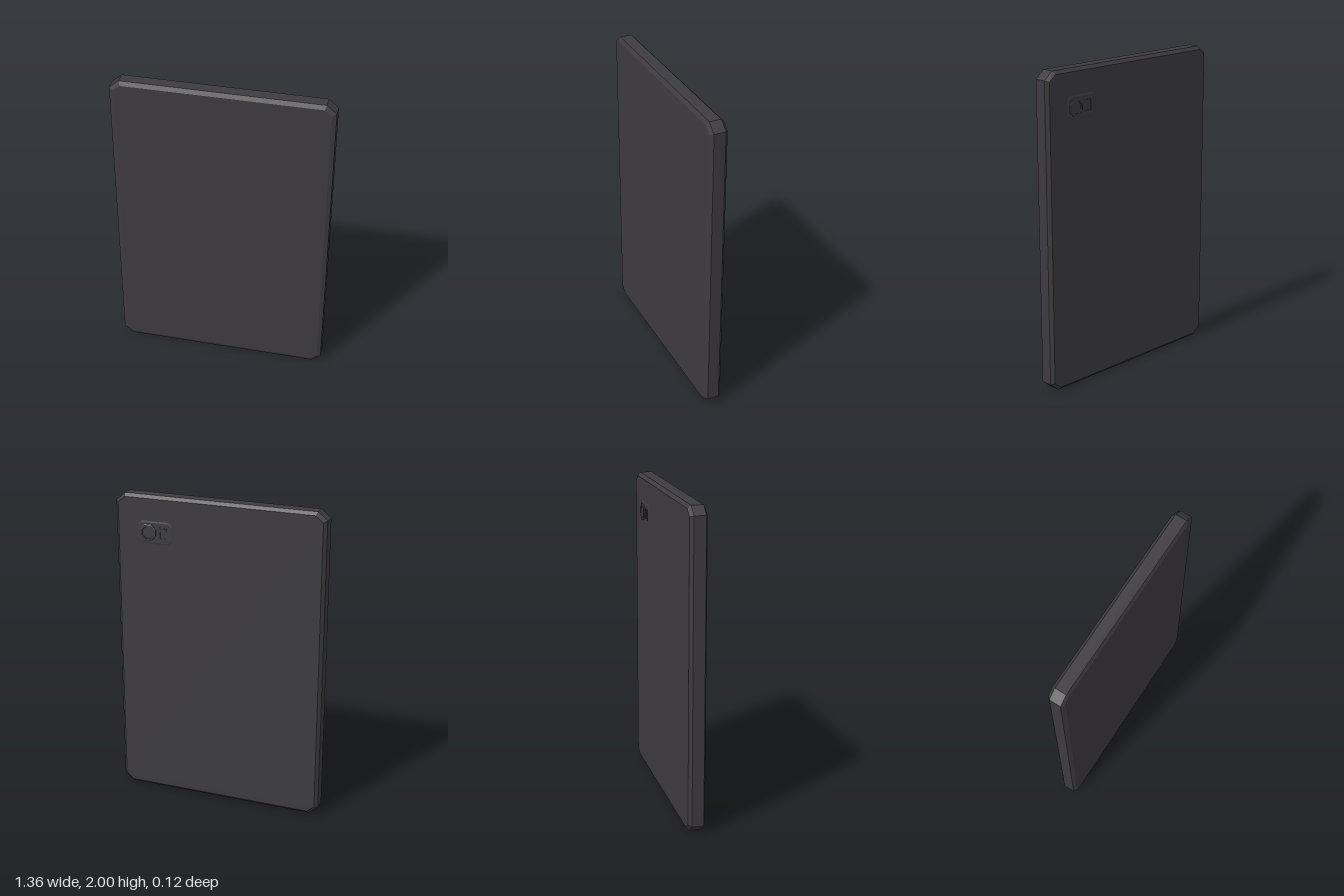
import * as THREE from 'three';

// Cut-corner rectangle outline, counter-clockwise seen from the front.
function outline(halfW, halfH, cutX, cutY, z) {
  const w = halfW, h = halfH, a = w - cutX, b = h - cutY;
  return [[w, -b], [w, b], [a, h], [-a, h], [-w, b], [-w, -b], [-a, -h], [a, -h]]
    .map(([x, y]) => [x, y, z]);
}

// Skin a solid through outlines ordered from the back to the front, capped at both ends.
function loft(loops) {
  const pos = [];
  const tri = (a, b, c) => pos.push(...a, ...b, ...c);
  const n = loops[0].length;
  for (let k = 0; k < loops.length - 1; k++) {
    for (let i = 0; i < n; i++) {
      const j = (i + 1) % n, p = loops[k], q = loops[k + 1];
      tri(p[i], p[j], q[j]);
      tri(p[i], q[j], q[i]);
    }
  }
  const back = loops[0], front = loops[loops.length - 1];
  for (let i = 1; i < n - 1; i++) {
    tri(back[0], back[i + 1], back[i]);
    tri(front[0], front[i], front[i + 1]);
  }
  const geometry = new THREE.BufferGeometry();
  geometry.setAttribute('position', new THREE.Float32BufferAttribute(pos, 3));
  geometry.computeVertexNormals();
  return geometry;
}

export function createModel() {
  const group = new THREE.Group();
  const casing = new THREE.MeshStandardMaterial({ name: 'charcoal casing', color: 0x3d3b41 });

  const add = (name, loops, x, y) => {
    const mesh = new THREE.Mesh(loft(loops), casing);
    mesh.name = name;
    mesh.position.set(x, y, 0);
    group.add(mesh);
  };

  // Slab with bevelled rims and clipped corners
  const slab = (inset, z) =>
    outline(0.68 - inset, 1 - inset, 0.06 - inset * 0.58, 0.05 - inset * 0.58, z);
  add('body', [slab(0.02, -0.049), slab(0, -0.029), slab(0, 0.045), slab(0.026, 0.059)], 0, 1);

  // Low camera plate on the back
  const plate = (inset, z) =>
    outline(0.115 - inset, 0.073 - inset, 0.025 - inset * 0.58, 0.025 - inset * 0.58, z);
  add('cameraPlate', [plate(0.01, -0.0515), plate(0, -0.049), plate(0, -0.04)], 0.413, 1.767);

  // Octagonal lens: sunken glass inside a raised ring
  const octagon = (r, z) => outline(r, r, r * 0.586, r * 0.586, z);
  add('cameraLens', [
    octagon(0.037, -0.055), octagon(0.038, -0.059), octagon(0.047, -0.059),
    octagon(0.052, -0.056), octagon(0.052, -0.045),
  ], 0.459, 1.767);

  // Small upright flash window beside the lens
  const flash = (inset, z) => outline(0.024 - inset, 0.038 - inset, 0.004, 0.004, z);
  add('flash', [flash(0.007, -0.052), flash(0.006, -0.0535), flash(0, -0.0535), flash(0, -0.045)],
    0.361, 1.767);

  return group;
}
